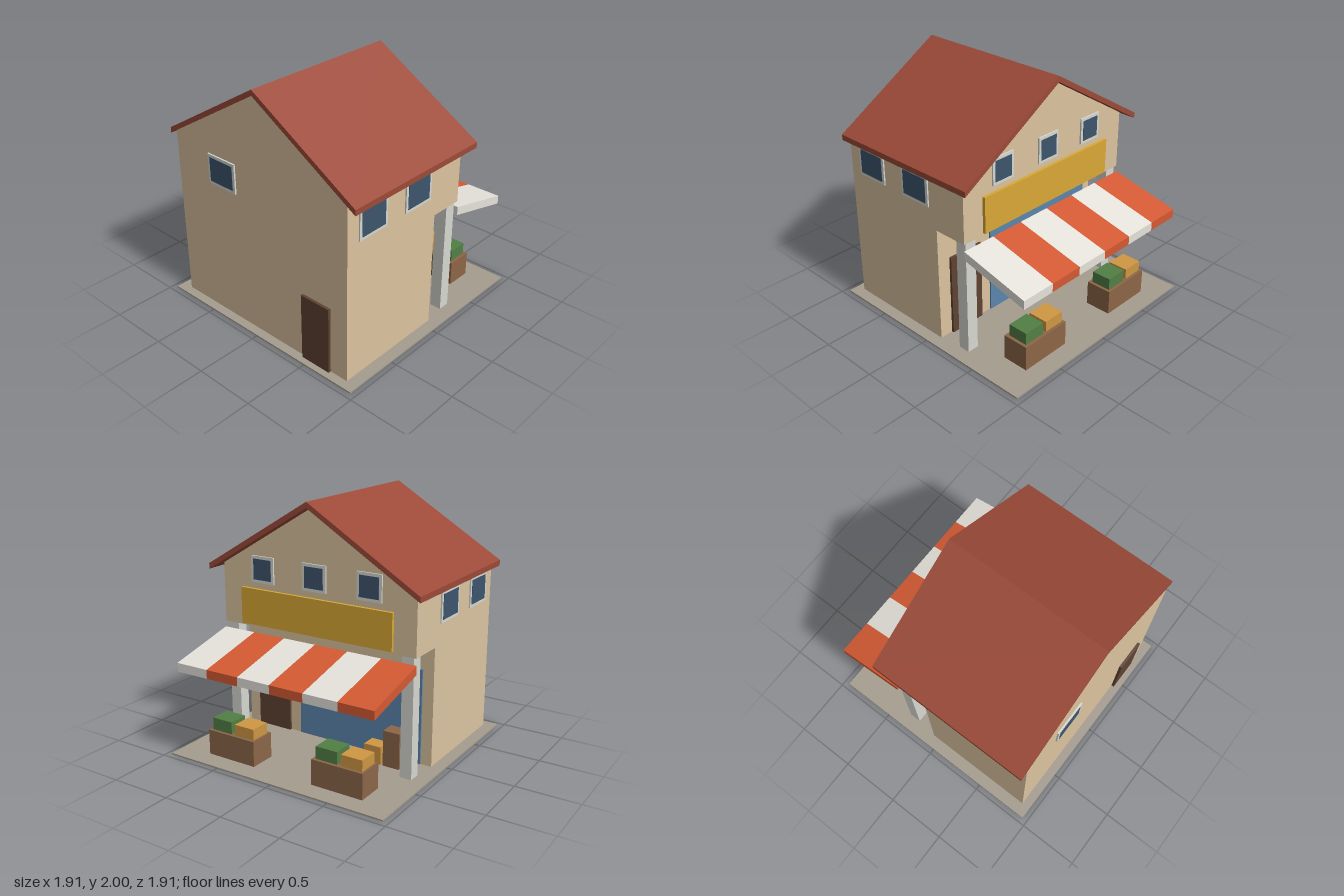
import * as THREE from 'three';

const mat = (color) => new THREE.MeshStandardMaterial({ color, flatShading: true });
const M = {
  ground: mat(0xa59c8e), wall: mat(0xdcc4a0), roof: mat(0x9c4a38), trim: mat(0xd8d8d2),
  pane: mat(0x3d556d), door: mat(0x5f4333), shopGlass: mat(0x5b86ad), sign: mat(0xd9a836),
  stripe: mat(0xd45a33), cloth: mat(0xe6e3dc), crate: mat(0x8c6647), greens: mat(0x527f45),
  fruit: mat(0xcf9742),
};

export function createModel() {
  const model = new THREE.Group();

  // Box given by its extents along each axis
  function box(name, material, [x0, x1], [y0, y1], [z0, z1], parent = model) {
    const mesh = new THREE.Mesh(new THREE.BoxGeometry(x1 - x0, y1 - y0, z1 - z0), material);
    mesh.position.set((x0 + x1) / 2, (y0 + y1) / 2, (z0 + z1) / 2);
    mesh.name = name;
    parent.add(mesh);
    return mesh;
  }

  // Outline in x/y extruded from z0 to z1
  function prism(name, material, points, z0, z1) {
    const shape = new THREE.Shape(points.map(([x, y]) => new THREE.Vector2(x, y)));
    const geometry = new THREE.ExtrudeGeometry(shape, { depth: z1 - z0, bevelEnabled: false });
    const mesh = new THREE.Mesh(geometry.translate(0, 0, z0), material);
    mesh.name = name;
    model.add(mesh);
    return mesh;
  }

  // Framed window facing +z, turned and placed against a wall
  function windowUnit(name, w, h, x, y, z, turn) {
    const unit = new THREE.Group();
    unit.name = name;
    box('windowFrame', M.trim, [-w / 2, w / 2], [-h / 2, h / 2], [-0.01, 0.011], unit);
    box('windowPane', M.pane, [-w / 2 + 0.023, w / 2 - 0.023], [-h / 2 + 0.023, h / 2 - 0.023], [0, 0.014], unit);
    unit.position.set(x, y, z);
    unit.rotation.y = turn;
    model.add(unit);
  }

  // Ground slab
  box('groundSlab', M.ground, [-0.955, 0.955], [0, 0.012], [-0.955, 0.955]);

  // Walls: recessed ground floor, overhanging gabled upper floor
  box('lowerWalls', M.wall, [-0.86, 0.86], [0.008, 0.962], [-0.07, 0.883]);
  prism('upperWalls', M.wall,
    [[-0.86, 0.96], [0.86, 0.96], [0.86, 1.44], [0, 1.957], [-0.86, 1.44]], -0.355, 0.883);

  // Roof
  prism('roof', M.roof,
    [[-0.93, 1.395], [0, 1.955], [0.93, 1.395], [0.93, 1.44], [0, 2], [-0.93, 1.44]], -0.452, 0.885);

  // Windows
  windowUnit('frontWindow', 0.285, 0.24, -0.358, 1.248, 0.885, 0);
  for (const side of [-1, 1])
    for (const z of [0.628, 0.143])
      windowUnit('sideWindow', 0.285, 0.24, side * 0.86, 1.248, z, side * Math.PI / 2);
  for (const x of [-0.475, 0, 0.475])
    windowUnit('shopUpperWindow', 0.21, 0.21, x, 1.425, -0.357, Math.PI);

  // Doors and shop window
  box('frontDoor', M.door, [0.44, 0.705], [0.012, 0.565], [0.87, 0.905]);
  box('shopDoor', M.door, [0.44, 0.75], [0.012, 0.685], [-0.09, -0.06]);
  box('shopWindow', M.shopGlass, [-0.77, 0.335], [0.015, 0.78], [-0.083, -0.06]);

  // Sign board and posts
  box('signBoard', M.sign, [-0.675, 0.675], [0.98, 1.27], [-0.38, -0.35]);
  for (const side of [-1, 1])
    box('post', M.trim, [side * 0.79 - 0.048, side * 0.79 + 0.048], [0.01, 0.962], [-0.346, -0.25]);

  // Sloping striped awning: each stripe is a box sheared down towards its outer edge
  const stripes = 6, stripeWidth = 1.73 / stripes;
  const awning = new THREE.Group();
  awning.name = 'awning';
  model.add(awning);
  for (let i = 0; i < stripes; i++) {
    const x = -0.865 + i * stripeWidth;
    const stripe = box('awningStripe', i % 2 ? M.cloth : M.stripe,
      [x, x + stripeWidth], [0.77, 0.84], [-0.932, -0.358], awning);
    stripe.geometry.applyMatrix4(new THREE.Matrix4().set(
      1, 0, 0, 0, 0, 1, 0.14 / 0.574, 0, 0, 0, 1, 0, 0, 0, 0, 1));
  }

  // Display crates with produce
  for (const c of [-0.48, 0.48]) {
    box('displayCrate', M.crate, [c - 0.217, c + 0.217], [0.012, 0.215], [-0.8, -0.583]);
    box('greenProduce', M.greens, [c + 0.01, c + 0.192], [0.21, 0.313], [-0.775, -0.61]);
    box('orangeProduce', M.fruit, [c - 0.2, c - 0.022], [0.21, 0.303], [-0.775, -0.61]);
  }

  // Boxes beside the shop window
  box('tallBox', M.crate, [-0.68, -0.54], [0.012, 0.3], [-0.25, -0.13]);
  box('shortBox', M.fruit, [-0.52, -0.375], [0.012, 0.155], [-0.25, -0.13]);

  return model;
}
